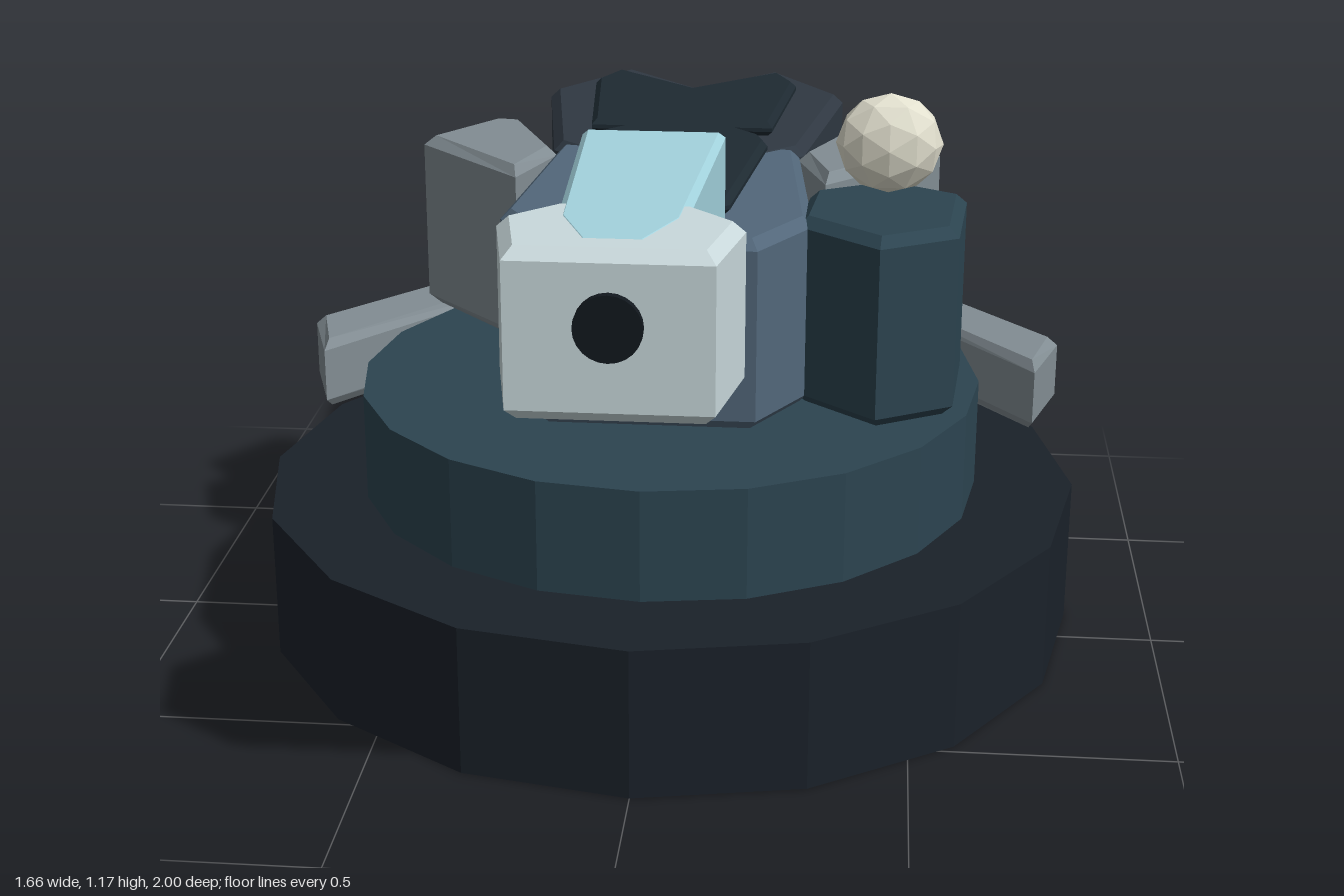
import * as THREE from 'three';

const mat = (color) => new THREE.MeshStandardMaterial({ color, flatShading: true });
const COLORS = {
  base: mat(0x1a2129), deck: mat(0x2c4450), hull: mat(0x52677a), rear: mat(0x2f3842),
  plate: mat(0x1e2a32), grey: mat(0x828d93), barrel: mat(0xa3d3de),
  muzzle: mat(0xc9d9dc), ball: mat(0xe2e0cf), bore: mat(0x12181e),
};

// Mirrors a half outline (x >= 0, front to back) across x = 0
const symmetric = (half) => [
  ...half,
  ...half.filter(([x]) => x > 0).reverse().map(([x, z]) => [-x, z]),
];
const flipX = (pts) => pts.map(([x, z]) => [-x, z]);

export function createModel() {
  const group = new THREE.Group();

  const add = (name, geometry, material) => {
    const mesh = new THREE.Mesh(geometry, material);
    mesh.name = name;
    group.add(mesh);
    return mesh;
  };

  // Upright chamfered prism from an [x, z] outline between two heights
  const prism = (name, pts, y0, y1, material, bevel = 0.02) => {
    const shape = new THREE.Shape(pts.map(([x, z]) => new THREE.Vector2(x, -z)));
    const geometry = new THREE.ExtrudeGeometry(shape, {
      depth: y1 - y0 - 2 * bevel,
      bevelEnabled: bevel > 0,
      bevelSize: bevel, bevelThickness: bevel, bevelOffset: -bevel, bevelSegments: 1,
    });
    geometry.rotateX(-Math.PI / 2).translate(0, y0 + bevel, 0);
    return add(name, geometry, material);
  };

  // Round pedestal
  const disc = (name, r, y0, y1, sides, material) =>
    add(name, new THREE.CylinderGeometry(r, r, y1 - y0, sides), material)
      .position.set(0, (y0 + y1) / 2, -0.107);
  disc('base', 0.83, 0, 0.295, 16, COLORS.base);
  disc('deck', 0.63, 0.295, 0.515, 20, COLORS.deck);

  // Central hull: front and notched rear section
  prism('frontHull', symmetric([[0.2, 0.365], [0.295, 0.2], [0.25, -0.3]]), 0.575, 0.945, COLORS.hull);
  prism('rearHull', symmetric([
    [0.19, -0.235], [0.26, -0.3], [0.33, -0.77], [0.17, -1], [0, -0.82],
  ]), 0.574, 0.947, COLORS.rear);

  // Thin cover plates on the hull
  prism('frontPlate', symmetric([
    [0.1, 0.24], [0.14, 0.205], [0.187, -0.23], [0.172, -0.285], [0.11, -0.35],
  ]), 0.945, 0.977, COLORS.plate, 0.012);
  prism('rearPlate', symmetric([
    [0.19, -0.375], [0.225, -0.755], [0.18, -0.855], [0, -0.69],
  ]), 0.945, 0.977, COLORS.plate, 0.012);

  // Side blocks and low rear fenders, mirrored left and right
  const block = [[0.31, -0.09], [0.54, -0.33], [0.415, -0.51], [0.35, -0.5], [0.25, -0.27]];
  const fender = [[0.75, -0.22], [0.808, -0.4], [0.565, -0.69], [0.33, -0.765]];
  for (const [side, map] of [['left', (p) => p], ['right', flipX]]) {
    prism(side + 'Block', map(block), 0.575, 0.945, COLORS.grey);
    prism(side + 'Fender', map(fender), 0.363, 0.515, COLORS.grey);
  }

  // Six-sided post with the faceted ball above it
  prism('post', [
    [0.435, -0.08], [0.585, 0.01], [0.565, 0.25], [0.42, 0.335], [0.265, 0.2], [0.283, 0.005],
  ], 0.575, 0.945, COLORS.deck);
  const ball = add('ball', new THREE.IcosahedronGeometry(1, 1), COLORS.ball);
  ball.scale.set(0.1, 0.095, 0.07);
  ball.position.set(0.432, 1.075, 0.145);

  // Barrel, muzzle block and bore
  prism('barrel', symmetric([
    [0.055, 0.93], [0.105, 0.8], [0.132, 0.235],
  ]), 0.825, 1.114, COLORS.barrel, 0.012);
  prism('muzzle', symmetric([
    [0.168, 0.985], [0.203, 0.8], [0.115, 0.71],
  ]), 0.825, 1.113, COLORS.muzzle);
  const bore = add('bore', new THREE.CylinderGeometry(0.056, 0.056, 0.04, 24), COLORS.bore);
  bore.rotation.x = Math.PI / 2;
  bore.position.set(0, 0.99, 0.98);

  return group;
}
